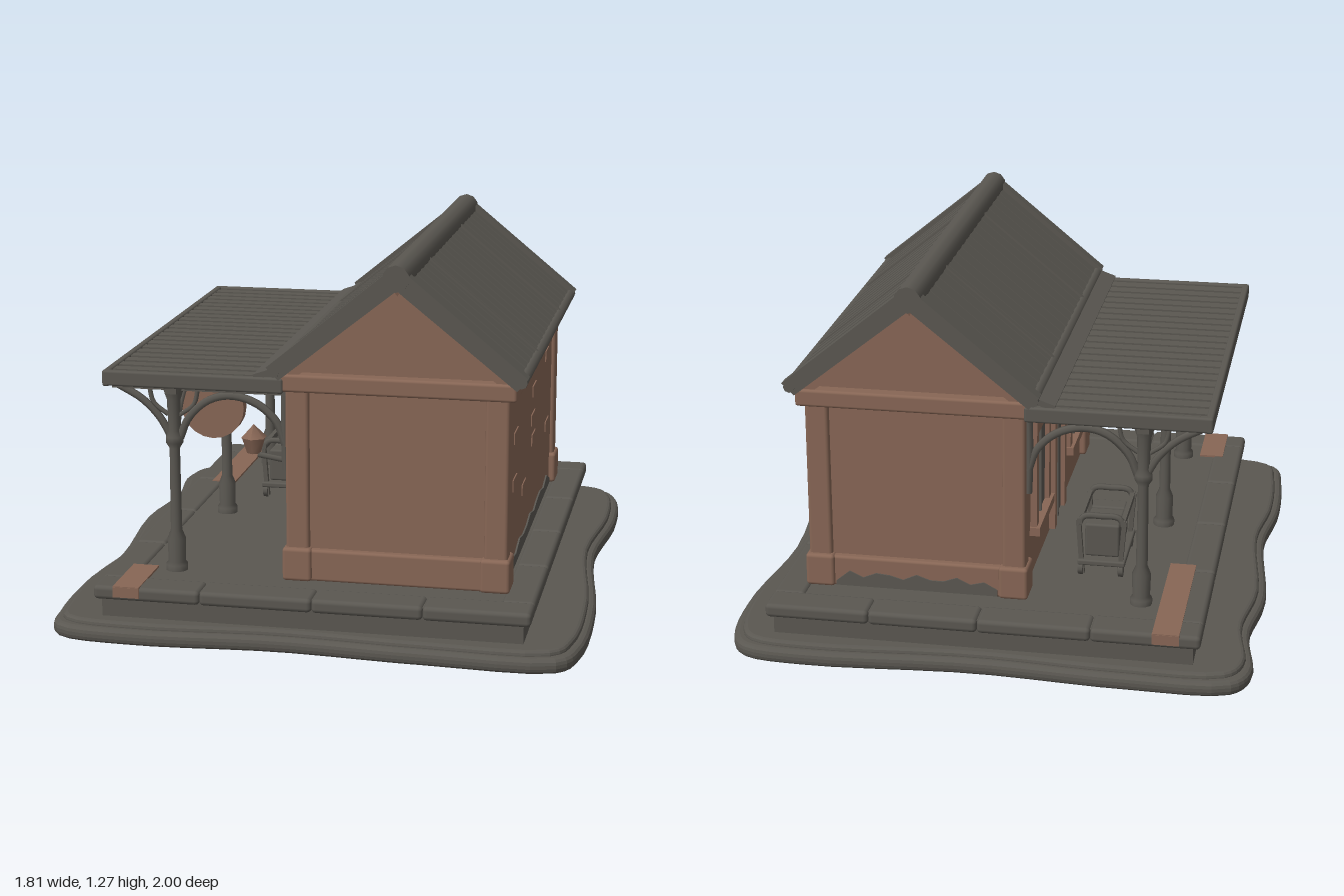
import * as THREE from 'three';
import { RoundedBoxGeometry } from 'three/addons/geometries/RoundedBoxGeometry.js';

export function createModel() {
  const model = new THREE.Group();
  const stone = new THREE.MeshStandardMaterial({ color: 0x5a5751 });
  stone.name = 'grey stone';
  const brick = new THREE.MeshStandardMaterial({ color: 0x876655 });
  brick.name = 'brown brick';

  const group = (name, parent = model) => {
    const g = new THREE.Group();
    g.name = name;
    parent.add(g);
    return g;
  };
  const add = (parent, name, geo, mat, x = 0, y = 0, z = 0) => {
    const m = new THREE.Mesh(geo, mat);
    m.name = name;
    m.position.set(x, y, z);
    parent.add(m);
    return m;
  };
  // Box given by its limits, with softly rounded edges when r > 0
  const box = (parent, name, mat, x0, x1, y0, y1, z0, z1, r = 0) => {
    const s = [x1 - x0, y1 - y0, z1 - z0];
    const geo = r ? new RoundedBoxGeometry(...s, 2, r) : new THREE.BoxGeometry(...s);
    return add(parent, name, geo, mat, (x0 + x1) / 2, (y0 + y1) / 2, (z0 + z1) / 2);
  };
  const rod = (parent, name, mat, pts, r, n = 16) => add(parent, name, new THREE.TubeGeometry(
    new THREE.CatmullRomCurve3(pts.map(p => new THREE.Vector3(...p))), n, r, 6), mat);
  // Square bar between two points of the xy plane, w deep along z
  const bar = (parent, name, mat, a, b, t, w, z) => {
    const m = add(parent, name, new THREE.BoxGeometry(Math.hypot(b[0] - a[0], b[1] - a[1]), t, w), mat,
      (a[0] + b[0]) / 2, (a[1] + b[1]) / 2, z);
    m.rotation.z = Math.atan2(b[1] - a[1], b[0] - a[0]);
    return m;
  };
  // Profile in xy, extruded along z and centred
  const prism = (parent, name, mat, pts, depth) => {
    const geo = new THREE.ExtrudeGeometry(new THREE.Shape(pts.map(p => new THREE.Vector2(...p))),
      { depth, bevelEnabled: false });
    return add(parent, name, geo.translate(0, 0, -depth / 2), mat);
  };

  // Uneven ground slab
  const outline = [[-.86, .95], [-.6, .99], [-.1, .96], [.4, .985], [.84, .97], [.89, .85], [.9, .45], [.84, -.15],
    [.88, -.6], [.86, -.88], [.81, -.97], [.6, -1], [.02, -.965], [-.5, -.99], [-.85, -.97], [-.9, -.88],
    [-.87, -.6], [-.905, -.3], [-.865, .2], [-.9, .5], [-.89, .82]];
  const groundLoop = (k) => new THREE.Shape(new THREE.CatmullRomCurve3(
    outline.map(([x, z]) => new THREE.Vector3(x * k, -z * k, 0)), true).getPoints(90).map(p => new THREE.Vector2(p.x, p.y)));
  [[.98, 0, .012, .02], [.955, .03, .01, .015]].forEach(([k, y, depth, b]) => {
    const geo = new THREE.ExtrudeGeometry(groundLoop(k), { depth, bevelThickness: b, bevelSize: b, bevelSegments: 3 });
    add(model, 'groundSlab', geo.rotateX(-Math.PI / 2), stone, 0, y + b, 0);
  });

  // Platform with edge stones
  const platform = group('platform');
  box(platform, 'platformBase', stone, -.71, .71, .04, .14, -.9, .9);
  box(platform, 'platformPaving', stone, -.72, .72, .13, .172, -.9, .9);
  const cuts = [-.735, -.37, .01, .38, .735], sides = [-.81, -.4, .02, .42, .81];
  for (const s of [-1, 1]) {
    for (let i = 0; i < 4; i++) {
      const z0 = s * .86, x0 = s * .68;
      box(platform, 'edgeStone', stone, cuts[i], cuts[i + 1], .132, .18, z0 - .06, z0 + .06, .015);
      box(platform, 'sideStone', stone, x0 - .055, x0 + .055, .132, .18, sides[i], sides[i + 1], .015);
    }
  }
  // Worn painted line near the platform edge
  for (const [z0, z1] of [[-.922, -.36], [.68, .922]]) {
    box(platform, 'paintedLine', brick, -.665, -.575, .176, .183, z0, z1);
    const s = Math.sign(z0 + z1), z = s * .921;
    box(platform, 'paintedLineEnd', brick, -.665, -.575, .145, .18, z - .003, z + .003);
  }

  // Building walls with gable ends
  const house = group('house');
  prism(house, 'walls', brick, [[-.105, .17], [.615, .17], [.615, .895], [.26, 1.19], [-.105, .895]], 1.39);
  for (const z of [-1, 1]) {
    for (const x of [-1, 1]) {
      const cx = .255 + x * .335, cz = z * .675;
      box(house, 'cornerPier', brick, cx - .04, cx + .04, .18, .84, cz - .04, cz + .04, .012);
      box(house, 'pierFoot', brick, cx - .05, cx + .05, .175, .29, cz - .058, cz + .058, .012);
      const sx = .26 + x * .385;
      bar(house, 'gableTrim', brick, [.26, 1.165], [sx, .875], .045, .05, z * .705);
    }
    box(house, 'endPlinth', brick, -.12, .63, .175, .285, z * .70 - .02, z * .70 + .02, .01);
    box(house, 'endCornice', brick, -.135, .655, .83, .89, z * .71 - .03, z * .71 + .03, .01);
  }
  box(house, 'sideCornice', brick, .59, .655, .83, .89, -.74, .74, .01);
  box(house, 'trackCornice', brick, -.135, -.08, .83, .89, -.74, .74, .01);
  // Grime at the foot of the walls, with a ragged top
  const ragged = (half) => {
    const pts = [[-half, 0], [half, 0]];
    for (let i = 0; i <= 12; i++) pts.push([half - i * half / 6, .045 + .012 * Math.sin(i * 2.3) - (i % 12 ? 0 : .03)]);
    return pts;
  };
  prism(house, 'sideGrime', stone, ragged(.61), .008).rotation.y = Math.PI / 2;
  house.children.at(-1).position.set(.617, .18, 0);
  prism(house, 'backGrime', stone, ragged(.28), .008).position.set(.255, .18, -.721);
  // A few raised bricks on the long wall
  [[.38, .62], [-.13, .66], [-.1, .56], [-.12, .48], [.4, .46], [-.52, .7], [-.55, .42], [.14, .37]].forEach(([z, y]) =>
    box(house, 'raisedBrick', brick, .61, .619, y, y + .04, z, z + .1));

  // Door and windows under the canopy
  for (const [z, w, y0, y1] of [[-.38, .13, .36, .7], [0, .11, .18, .7], [.38, .13, .36, .7]]) {
    const o = group(y0 < .2 ? 'door' : 'window', house);
    box(o, 'panel', stone, -.112, -.104, y0, y1, z - w, z + w);
    for (const s of [-1, 1]) box(o, 'jamb', brick, -.128, -.1, y0, y1, z + s * w - .02, z + s * w + .02);
    box(o, 'lintel', brick, -.132, -.1, y1, y1 + .05, z - w - .03, z + w + .03);
    if (y0 > .2) box(o, 'sill', brick, -.14, -.1, y0 - .03, y0, z - w - .03, z + w + .03);
    box(o, 'mullion', stone, -.12, -.1, y0, y1, z - .01, z + .01);
  }

  // Gabled roof with battens, ridge and rolled eaves
  const roof = group('roof');
  prism(roof, 'roofSlopes', stone, [[.26, 1.25], [-.165, .9], [-.135, .87], [.26, 1.185], [.655, .87], [.685, .9]], 1.49);
  const ridge = add(roof, 'ridgeCap', new THREE.CylinderGeometry(.045, .045, 1.52, 10), stone, .26, 1.227, 0);
  ridge.rotation.x = Math.PI / 2;
  for (const s of [-1, 1]) {
    const top = [.26, 1.245], eave = [.26 + s * .42, .9];
    for (const z of [-.735, -.345, .345, .735])
      bar(roof, 'roofBatten', stone, top, eave, Math.abs(z) > .5 ? .04 : .022, Math.abs(z) > .5 ? .045 : .016, z);
    for (let i = -9; i <= 9; i++) bar(roof, 'roofRib', stone, top, eave, .012, .03, i * .074);
    const lip = add(roof, 'eaveRoll', new THREE.CylinderGeometry(.02, .02, 1.5, 8), stone, .26 + s * .41, .9, 0);
    lip.rotation.x = Math.PI / 2;
  }

  // Platform canopy
  const canopy = group('canopy');
  box(canopy, 'canopyDeck', stone, -.73, -.1, .835, .866, -.735, .735);
  box(canopy, 'canopyFascia', stone, -.74, -.715, .822, .877, -.745, .745, .008);
  for (const s of [-1, 1])
    box(canopy, 'canopyEnd', stone, -.73, -.12, .824, .877, s * .732 - .013, s * .732 + .013, .008);
  for (let i = -10; i <= 10; i++) box(canopy, 'canopyRib', stone, -.72, -.14, .862, .872, i * .067 - .022, i * .067 + .022);
  bar(canopy, 'flashing', stone, [-.22, .875], [-.12, .91], .02, 1.47, 0);
  box(canopy, 'frontBeam', stone, -.53, -.49, .8, .84, -.72, .72);

  // Posts with arched brackets
  const profile = [[.038, 0], [.038, .02], [.03, .03], [.032, .11], [.02, .14], [.018, .43], [.03, .45],
    [.03, .47], [.02, .49], [.024, .6], [.04, .65]].map(p => new THREE.Vector2(...p));
  for (const z of [-.68, 0, .68]) {
    const post = group('post');
    add(post, 'column', new THREE.LatheGeometry(profile, 12), stone, -.51, .175, z);
    rod(post, 'archBrace', stone, [[-.49, .64, z], [-.46, .71, z], [-.39, .775, z], [-.31, .795, z], [-.22, .77, z],
      [-.155, .71, z], [-.125, .63, z]], .014, 24);
    rod(post, 'outerBrace', stone, [[-.52, .64, z], [-.56, .71, z], [-.62, .77, z], [-.70, .815, z]], .013);
    rod(post, 'wallBracket', stone, [[-.125, .55, z], [-.128, .7, z], [-.125, .83, z]], .014, 8);
    bar(post, 'crossBeam', stone, [-.72, .82], [-.11, .82], .025, .03, z);
    for (const s of [-1, 1]) {
      rod(post, 'spandrel', stone, [[-.51 + s * .02, .72, z], [-.51 + s * .07, .76, z], [-.51 + s * .085, .82, z]], .008, 8);
      if (Math.abs(z + s * .2) < .7)
        rod(post, 'sideBrace', stone, [[-.51, .64, z + s * .02], [-.51, .73, z + s * .06], [-.51, .785, z + s * .13],
          [-.51, .81, z + s * .21]], .013);
    }
  }

  // Hanging round clock
  const clock = group('clock');
  const disc = add(clock, 'clockDisc', new THREE.CylinderGeometry(.112, .112, .04, 20), brick, -.46, .67, .35);
  disc.rotation.x = Math.PI / 2;
  rod(clock, 'clockHanger', stone, [[-.46, .77, .35], [-.46, .84, .35]], .012, 4);

  // Wall lantern
  const lamp = group('lantern');
  rod(lamp, 'lanternArm', stone, [[-.1, .56, .62], [-.17, .57, .62], [-.235, .58, .62]], .01, 8);
  add(lamp, 'lanternGlass', new THREE.CylinderGeometry(.042, .024, .055, 6), brick, -.25, .613, .62);
  add(lamp, 'lanternCap', new THREE.ConeGeometry(.045, .045, 6), brick, -.25, .662, .62);

  // Luggage trolley with crates
  const cart = group('trolley');
  box(cart, 'trolleyBed', stone, -.43, -.265, .215, .235, -.5, -.2, .006);
  for (const z of [-.48, -.22]) {
    for (const s of [-1, 1]) {
      bar(cart, 'trolleyUpright', stone, [-.345 + s * .065, .18], [-.345 + s * .08, .38], .016, .018, z);
      const wheel = add(cart, 'trolleyWheel', new THREE.CylinderGeometry(.025, .025, .016, 10), stone, -.345 + s * .07, .2, z);
      wheel.rotation.z = Math.PI / 2;
    }
    rod(cart, 'trolleyHandle', stone, [[-.425, .36, z], [-.405, .392, z], [-.345, .396, z], [-.285, .392, z], [-.265, .36, z]], .011);
  }
  for (const x of [-.42, -.27]) box(cart, 'trolleyRail', stone, x - .008, x + .008, .365, .385, -.49, -.21);
  for (let i = 0; i < 3; i++) box(cart, 'crate', stone, -.405, -.285, .235, .355, -.462 + i * .08, -.392 + i * .08, .008);

  return model;
}
